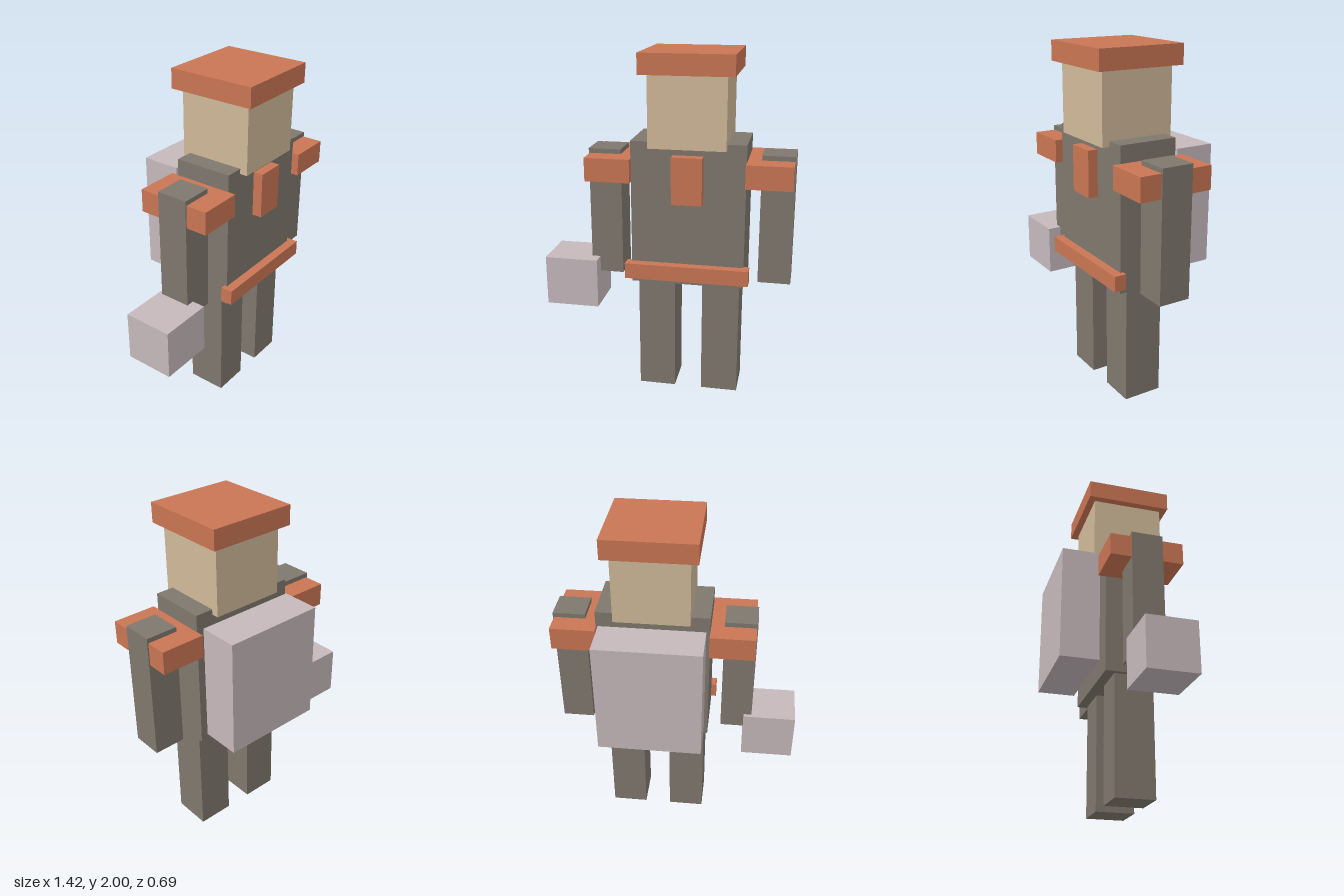
import * as THREE from 'three';

const COLORS = { cloth: 0x7f776d, trim: 0xc97553, skin: 0xd0b999, pack: 0xc5b8bb };
const CENTER_X = 0.13; // the body's mirror plane, shifted by the carried cube

export function createModel() {
  const model = new THREE.Group();
  model.name = 'blockFigure';

  const materials = {};
  for (const key in COLORS) {
    materials[key] = new THREE.MeshStandardMaterial({ color: COLORS[key], flatShading: true });
  }

  // Box given by its extents along each axis
  function block(name, material, [x0, x1], [y0, y1], [z0, z1]) {
    const mesh = new THREE.Mesh(new THREE.BoxGeometry(x1 - x0, y1 - y0, z1 - z0), materials[material]);
    mesh.position.set((x0 + x1) / 2, (y0 + y1) / 2, (z0 + z1) / 2);
    mesh.name = name;
    model.add(mesh);
  }

  // Same block on both sides; inner and outer are distances from the body's centre
  function pair(name, material, [inner, outer], y, z) {
    block('left' + name, material, [CENTER_X + inner, CENTER_X + outer], y, z);
    block('right' + name, material, [CENTER_X - outer, CENTER_X - inner], y, z);
  }

  // Body
  block('torso', 'cloth', [-0.19, 0.45], [0.695, 1.52], [-0.085, 0.258]);
  block('head', 'skin', [-0.084, 0.344], [1.49, 1.9], [-0.128, 0.302]);
  pair('Leg', 'cloth', [0.08, 0.294], [0, 0.695], [-0.026, 0.202]);
  pair('Arm', 'cloth', [0.395, 0.581], [0.708, 1.45], [-0.007, 0.178]);

  // Clothing trim
  block('hat', 'trim', [-0.127, 0.387], [1.887, 2], [-0.17, 0.343]);
  block('belt', 'trim', [-0.221, 0.481], [0.73, 0.82], [0.24, 0.311]);
  block('chestPanel', 'trim', [0.047, 0.217], [1.185, 1.45], [0.245, 0.315]);
  pair('ShoulderPad', 'trim', [0.318, 0.574], [1.29, 1.423], [-0.13, 0.302]);

  // Carried items
  block('backpack', 'pack', [-0.17, 0.43], [0.76, 1.45], [-0.343, -0.115]);
  block('carriedCube', 'pack', [-0.714, -0.403], [0.508, 0.8], [-0.03, 0.257]);

  return model;
}
